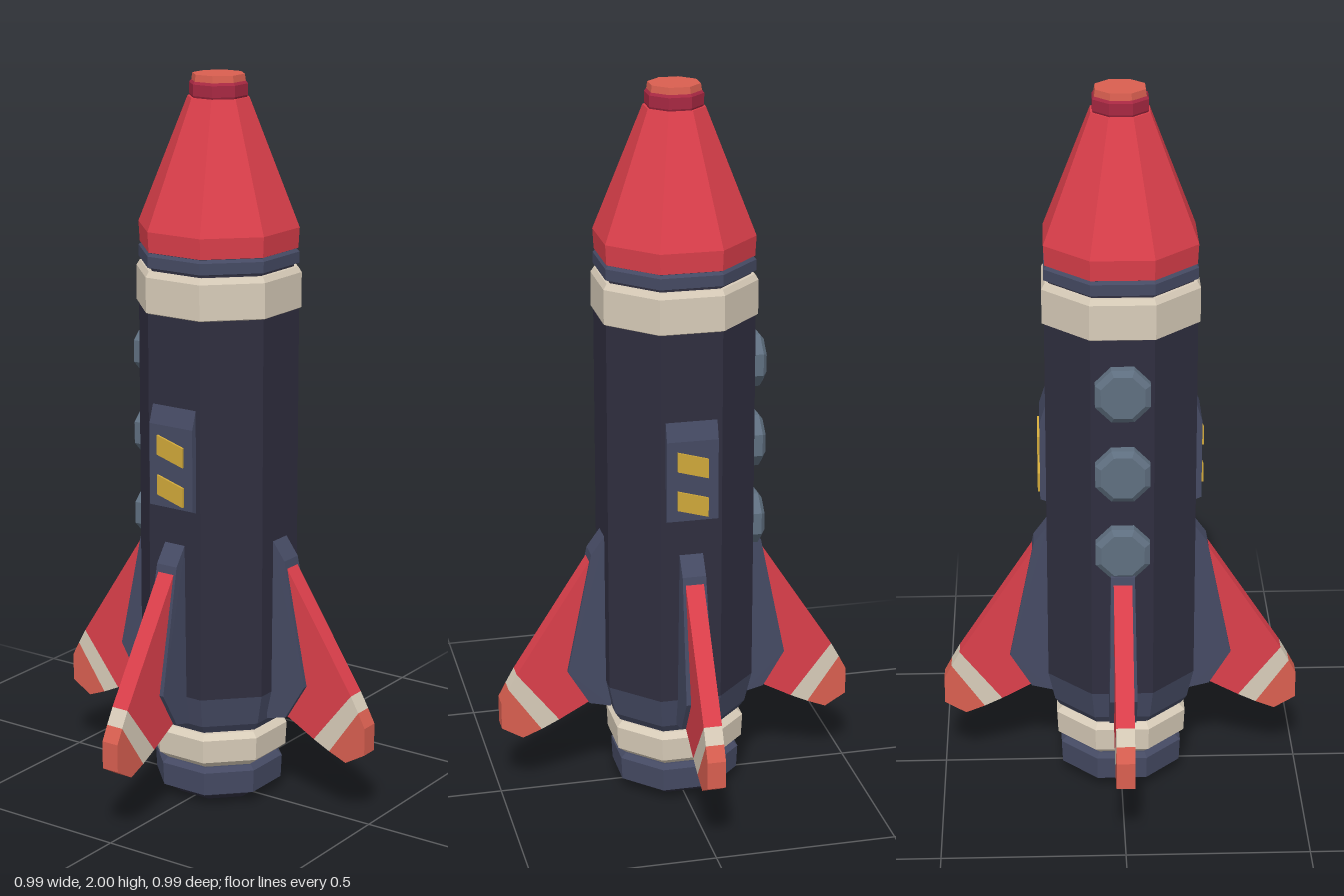
import * as THREE from 'three';

const mat = (name, color) => {
  const m = new THREE.MeshStandardMaterial({ color });
  m.name = name;
  return m;
};

export function createModel() {
  const red = mat('red', 0xdc3f4b);
  const darkRed = mat('darkRed', 0xa82842);
  const coral = mat('coral', 0xd95f50);
  const navy = mat('navy', 0x2f2e3f);
  const slate = mat('slate', 0x454a63);
  const beige = mat('beige', 0xd8ccb9);
  const steel = mat('steel', 0x5f6f80);
  const yellow = mat('yellow', 0xd0a83a);

  const rocket = new THREE.Group();
  rocket.name = 'rocket';

  // Facet normals for the low-poly look
  function part(parent, name, geometry, material) {
    const g = geometry.index ? geometry.toNonIndexed() : geometry;
    g.computeVertexNormals();
    const mesh = new THREE.Mesh(g, material);
    mesh.name = name;
    parent.add(mesh);
    return mesh;
  }

  // Octagonal ring with flats on the axes; profile is [half width, y] from the bottom up
  const K = 1 / Math.cos(Math.PI / 8);
  function octagon(name, material, profile) {
    const pts = profile.map(([r, y]) => new THREE.Vector2(r * K, y));
    part(rocket, name, new THREE.LatheGeometry(pts, 8, Math.PI / 8), material);
  }

  // Flat outline extruded evenly to both sides of z = 0
  function plate(points, thickness) {
    const shape = new THREE.Shape(points.map(([x, y]) => new THREE.Vector2(x, y)));
    return new THREE.ExtrudeGeometry(shape, { depth: thickness, bevelEnabled: false })
      .translate(0, 0, -thickness / 2);
  }

  // Engine
  octagon('nozzle', slate, [[0.125, 0.015], [0.165, 0.035], [0.168, 0.1], [0.155, 0.112], [0, 0.112]]);
  octagon('nozzleLip', navy, [[0.085, 0.012], [0.09, 0.0], [0.115, 0.002], [0.145, 0.027]]);
  octagon('nozzleInnerRing', coral, [[0.05, 0.014], [0.09, 0.01]]);
  octagon('engineGlow', yellow, [[0, 0.014], [0.055, 0.014]]);
  octagon('engineNeck', navy, [[0.145, 0.1], [0.145, 0.24]]);
  octagon('engineRing', beige, [[0, 0.113], [0.15, 0.113], [0.177, 0.135], [0.18, 0.2], [0.165, 0.215], [0, 0.215]]);

  // Hull
  octagon('skirt', slate, [[0, 0.222], [0.17, 0.222], [0.185, 0.245], [0.203, 0.33]]);
  octagon('body', navy, [[0.203, 0.33], [0.203, 1.39]]);
  octagon('shoulderBand', beige, [[0.2, 1.38], [0.209, 1.385], [0.209, 1.48], [0.2, 1.495], [0, 1.495]]);
  octagon('neck', navy, [[0.19, 1.49], [0.19, 1.55]]);
  octagon('collar', slate, [[0.19, 1.5], [0.203, 1.505], [0.203, 1.535], [0.195, 1.543]]);

  // Nose
  octagon('noseCone', red, [[0, 1.545], [0.2, 1.545], [0.203, 1.6], [0.077, 1.94], [0, 1.94]]);
  octagon('noseRing', darkRed, [[0.07, 1.938], [0.073, 1.945], [0.073, 1.975], [0.068, 1.982]]);
  octagon('noseCap', coral, [[0.068, 1.98], [0.065, 2.0], [0, 2.0]]);

  // Four fins
  const root = [[0.19, 0.25], [0.25, 0.265], [0.31, 0.365], [0.24, 0.71], [0.2, 0.765], [0.19, 0.765]];
  const blade = [[0.2, 0.29], [0.25, 0.264], [0.335, 0.218], [0.452, 0.368], [0.237, 0.7], [0.2, 0.7]];
  const stripe = [[0.335, 0.218], [0.385, 0.194], [0.476, 0.325], [0.452, 0.368]];
  const tip = [[0.385, 0.194], [0.438, 0.173], [0.497, 0.208], [0.497, 0.285], [0.476, 0.325]];
  for (let i = 0; i < 4; i++) {
    const fin = new THREE.Group();
    fin.name = 'fin';
    fin.rotation.y = i * Math.PI / 2;
    const rootGeometry = plate(root, 0.075);
    const p = rootGeometry.attributes.position;
    for (let v = 0; v < p.count; v++) if (p.getY(v) > 0.6) p.setZ(v, p.getZ(v) * 0.86);
    part(fin, 'finRoot', rootGeometry, slate);
    part(fin, 'finBlade', plate(blade, 0.05), red);
    part(fin, 'finStripe', plate(stripe, 0.05), beige);
    part(fin, 'finTip', plate(tip, 0.05), coral);
    rocket.add(fin);
  }

  // Side panels with two slanted yellow marks
  for (const angle of [0, Math.PI]) {
    const panel = new THREE.Group();
    panel.name = 'sidePanel';
    panel.rotation.y = angle;
    const profile = [[0.195, 0.855], [0.219, 0.865], [0.219, 1.09], [0.203, 1.14], [0.195, 1.14]];
    part(panel, 'panelPlate', plate(profile, 0.14), slate);
    for (const y of [0.88, 0.99]) {
      const mark = [[-0.042, y + 0.018], [0.042, y - 0.006], [0.042, y + 0.048], [-0.042, y + 0.072]];
      const m = part(panel, 'panelMark', plate(mark, 0.009), yellow);
      m.rotation.y = Math.PI / 2;
      m.position.x = 0.221;
    }
    rocket.add(panel);
  }

  // Portholes down the back
  for (const y of [0.775, 1.005, 1.235]) {
    const profile = [[0.073, 0], [0.073, 0.03], [0.058, 0.042], [0, 0.042]]
      .map(([r, h]) => new THREE.Vector2(r * K, h));
    const hole = part(rocket, 'porthole', new THREE.LatheGeometry(profile, 8, Math.PI / 8), steel);
    hole.rotation.x = -Math.PI / 2;
    hole.position.set(0, y, -0.2);
  }

  return rocket;
}
